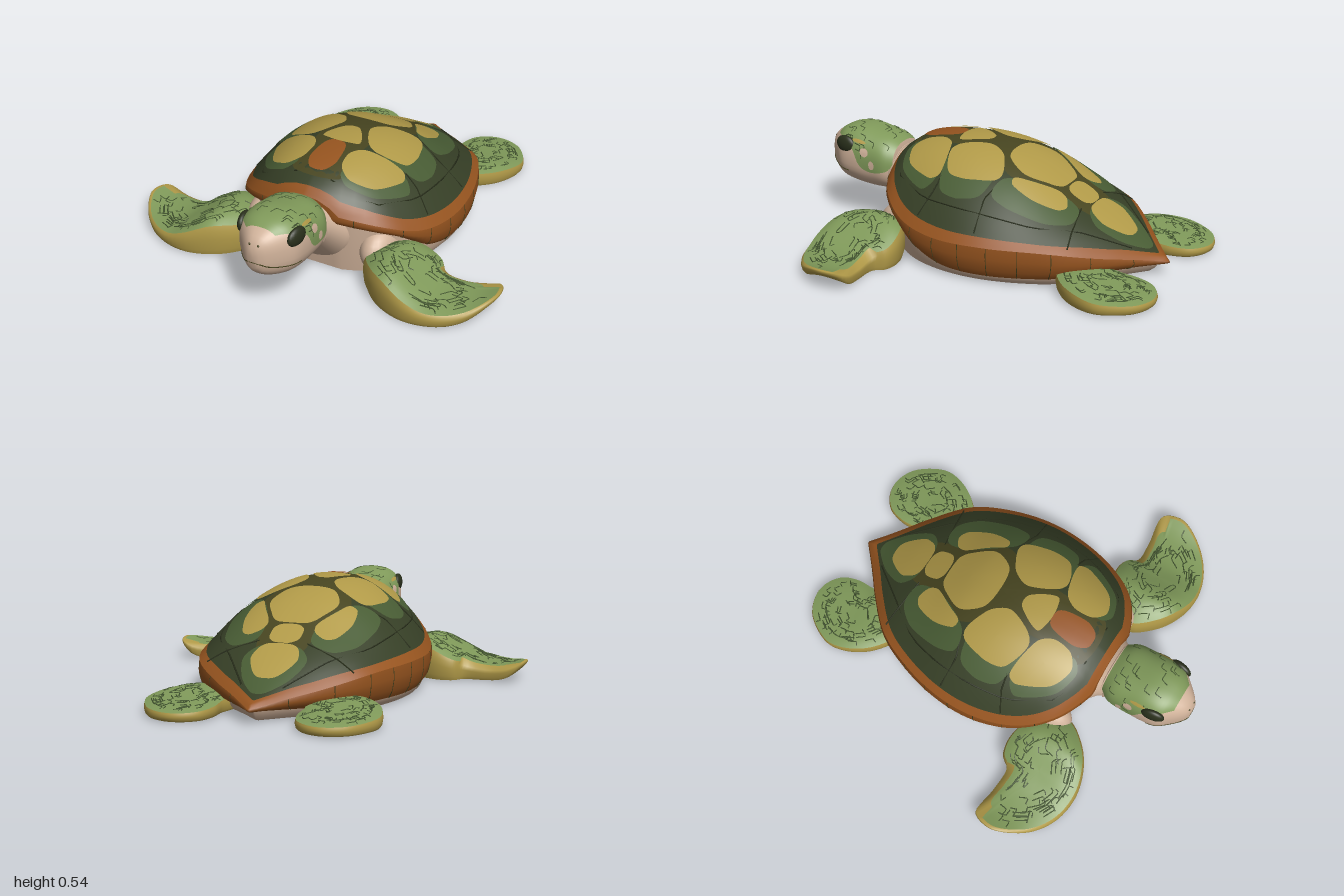
import * as THREE from 'three';

const mat = (name, color) => Object.assign(new THREE.MeshStandardMaterial({ color }), { name });
const M = {
  seam: mat('olive seam', 0x474520), dark: mat('dark green', 0x363f26), mid: mat('moss green', 0x485c34),
  yellow: mat('ochre', 0xb19a48), rim: mat('burnt orange', 0x96541f), skin: mat('light green', 0x809a5a),
  beige: mat('beige', 0xd0b29a), line: mat('near black', 0x2a301c),
};

// Smooth function through a table of [position, value], ascending
function curve(t) {
  const slope = i => {
    const a = t[Math.max(i - 1, 0)], b = t[Math.min(i + 1, t.length - 1)];
    return (b[1] - a[1]) / (b[0] - a[0]);
  };
  return v => {
    const x = Math.min(Math.max(v, t[0][0]), t[t.length - 1][0]);
    let i = 0;
    while (i < t.length - 2 && x > t[i + 1][0]) i++;
    const h = t[i + 1][0] - t[i][0], s = (x - t[i][0]) / h, s2 = s * s, s3 = s2 * s;
    return (2 * s3 - 3 * s2 + 1) * t[i][1] + (s3 - 2 * s2 + s) * h * slope(i)
      + (3 * s2 - 2 * s3) * t[i + 1][1] + (s3 - s2) * h * slope(i + 1);
  };
}

// Surface through rings of points, counterclockwise as seen from the last ring
function loft(rings, closed = true) {
  const n = rings[0].length, index = [];
  for (let i = 0; i < rings.length - 1; i++)
    for (let j = 0; j < (closed ? n : n - 1); j++) {
      const k = (j + 1) % n, a = i * n + j, b = i * n + k, c = b + n, d = a + n;
      index.push(a, b, c, a, c, d);
    }
  const g = new THREE.BufferGeometry();
  g.setAttribute('position', new THREE.Float32BufferAttribute(rings.flat(2), 3));
  g.setIndex(index);
  g.computeVertexNormals();
  return g;
}

// Smooth closed loop in plan, counterclockwise from above
function loop(points, n, side = 1) {
  const c = new THREE.CatmullRomCurve3(points.map(([x, z]) => new THREE.Vector3(x * side, 0, z)), true);
  const out = c.getPoints(n).slice(0, n).map(p => [p.x, p.z]);
  const area = out.reduce((s, p, i) => {
    const q = out[(i + 1) % n];
    return s + q[0] * p[1] - p[0] * q[1];
  }, 0);
  return area > 0 ? out : out.reverse();
}
// Polygon with slightly rounded corners
const rounded = pts => pts.flatMap((p, i) => {
  const q = pts[(i + 1) % pts.length];
  return [.18, .82].map(f => [p[0] + (q[0] - p[0]) * f, p[1] + (q[1] - p[1]) * f]);
});
const scaled = (pts, c, t) => pts.map(([x, z]) => [c[0] + (x - c[0]) * t, c[1] + (z - c[1]) * t]);
const range = (a, b, n) => Array.from({ length: n + 1 }, (_, i) => a + (b - a) * i / n);
const mirrored = pts => pts.concat(pts.slice().reverse().map(([x, z]) => [-x, z]));

// Shell measurements along z: half width, ridge, edge and underside heights
const W = curve([[-.915, 0], [-.8, .13], [-.7, .25], [-.55, .4], [-.4, .48], [-.2, .54], [0, .555], [.2, .52], [.35, .45], [.45, .36], [.51, .26], [.54, .18]]);
const T = curve([[-.91, .08], [-.8, .13], [-.6, .25], [-.4, .36], [-.2, .465], [0, .52], [.2, .53], [.4, .5], [.5, .45], [.54, .41]]);
const E = curve([[-.91, .07], [-.7, .13], [-.5, .18], [-.2, .19], [.1, .19], [.3, .22], [.45, .29], [.54, .34]]);
const B = curve([[-.91, .05], [-.5, .04], [0, .04], [.2, .08], [.3, .14], [.4, .21], [.54, .28]]);
const shellY = (x, z) => {
  const u = Math.min(1, Math.abs(x) / Math.max(W(z), .001));
  return E(z) + (T(z) - E(z)) * (1 - Math.pow(u, 2.3));
};
// Head measurements along z
const HW = curve([[.57, .13], [.62, .155], [.7, .16], [.8, .162], [.88, .148], [.94, .1], [.98, .06], [1, .03]]);
const HT = curve([[.57, .43], [.62, .455], [.7, .475], [.8, .49], [.88, .48], [.94, .45], [.98, .42], [1, .385]]);
const HB = curve([[.57, .18], [.7, .172], [.8, .18], [.88, .195], [.94, .215], [.98, .245], [1, .28]]);
const soft = v => Math.sign(v) * Math.pow(Math.abs(v), .82);
const headPoint = (z, a, k = 1) => {
  const cy = (HT(z) + HB(z)) / 2;
  return [HW(z) * k * soft(Math.cos(a)), cy + (HT(z) - cy) * k * soft(Math.sin(a)), z];
};

export function createModel() {
  const root = new THREE.Group();
  root.name = 'seaTurtle';
  const add = (name, geo, material, parent = root) => {
    const m = new THREE.Mesh(geo, material);
    m.name = name;
    parent.add(m);
    return m;
  };
  const line = (name, pts, r, material = M.line, seg = 5, parent = root) =>
    add(name, new THREE.TubeGeometry(new THREE.CatmullRomCurve3(pts.map(p => new THREE.Vector3(...p)), false, 'catmullrom', .15), seg, r, 4), material, parent);
  let seed = 7;
  const rnd = () => (seed = (seed * 16807) % 2147483647) / 2147483647;

  // Shell dome, orange border and rim wall
  const centre = [0, -.05];
  const half = [[.01, .54], [.07, .54], [.13, .54]];
  for (const s of range(0, 1, 60)) {
    const z = .54 - 1.45 * s;
    half.push([Math.max(W(z), .004), z]);
  }
  const outline = mirrored(half);
  const shellRing = t => scaled(outline, centre, t).map(([x, z]) => [x, shellY(x, z), z]);
  const lowRing = (t, f) => scaled(outline, centre, t).map(([x, z], i) => [x, f(outline[i][1]), z]);
  add('shellDome', loft(range(.94, .001, 28).map(shellRing)), M.dark);
  add('shellBorder', loft(range(1, .94, 3).map(shellRing)), M.rim);
  const mix = f => z => B(z) * (1 - f) + E(z) * f;
  add('shellRim', loft([lowRing(.94, B), lowRing(.985, mix(.25)), lowRing(1.008, mix(.65)), shellRing(1)]), M.rim);
  const belly = lowRing(.89, () => 0);
  add('plastron', loft([lowRing(.001, () => 0), belly]), M.beige);
  add('underbody', loft([belly, lowRing(.925, z => B(z) * .5), lowRing(.94, B)]), M.beige);

  // Scute plates draped over the dome
  const plate = (name, pts, material, lift, side = 1) => {
    const o = loop(rounded(pts), 60, side);
    const c = [0, 1].map(k => o.reduce((s, p) => s + p[k], 0) / o.length);
    add(name, loft(range(1, .001, 7).map(t => scaled(o, c, t).map(([x, z]) => [x, shellY(x, z) + lift, z]))), material);
  };
  plate('ridgeSeam', mirrored([[.05, .46], [.14, .43], [.13, .2], [.15, 0], [.24, -.2], [.14, -.4], [.13, -.52], [.05, -.72]]), M.seam, .003);
  plate('rearGreenScute', mirrored([[.03, -.82], [.12, -.72], [.165, -.6], [.1, -.53]]), M.mid, .005);
  plate('rearScute', mirrored([[.05, -.73], [.12, -.62], [.1, -.55], [.06, -.525]]), M.yellow, .009);
  plate('smallScute', mirrored([[.04, -.52], [.078, -.49], [.078, -.42], [.04, -.395]]), M.yellow, .009);
  plate('middleScute', mirrored([[.07, -.385], [.115, -.35], [.185, -.22], [.11, -.095]]), M.yellow, .009);
  plate('frontWedgeScute', mirrored([[.035, .045], [.11, .18], [.04, .205]]), M.yellow, .009);
  plate('orangeScute', mirrored([[.05, .21], [.075, .36], [.04, .43]]), M.rim, .009);
  for (const s of [1, -1]) {
    plate('rearCostalGreen', [[.13, -.5], [.25, -.52], [.34, -.42], [.38, -.24], [.36, -.13], [.25, -.15], [.13, -.36]], M.mid, .006, s);
    plate('middleCostalGreen', [[.2, -.11], [.38, -.1], [.42, .02], [.39, .14], [.2, .18], [.15, .05]], M.mid, .006, s);
    plate('frontCostalGreen', [[.16, .21], [.35, .17], [.4, .23], [.3, .4], [.17, .45], [.11, .4]], M.mid, .006, s);
    plate('rearCostalScute', [[.13, -.43], [.19, -.46], [.24, -.43], [.28, -.31], [.27, -.2], [.225, -.19], [.185, -.27], [.12, -.38]], M.yellow, .009, s);
    plate('middleCostalScute', [[.12, -.085], [.28, -.15], [.335, .01], [.32, .13], [.16, .19], [.065, .02]], M.yellow, .009, s);
    plate('frontCostalScute', [[.14, .2], [.33, .155], [.355, .21], [.28, .37], [.17, .42], [.1, .37], [.09, .27]], M.yellow, .009, s);

    // Dark seams between the scutes and around the rim
    for (const p of [[[.12, -.5], [.28, -.53], [.37, -.55]], [[.26, -.15], [.38, -.115], [.51, -.13]], [[.33, .15], [.4, .16], [.48, .2]],
      [[.09, .45], [.3, .42], [.42, .2], [.445, 0], [.43, -.2], [.38, -.38], [.25, -.56], [.1, -.76]]])
      line('shellSeam', p.map(([x, z]) => [x * s, shellY(x, z) + .002, z]), .004, M.line, 24);
    for (let i = 4; i < half.length - 3; i += 6) {
      const [x, z] = half[i];
      const at = (t, f) => [x * t * s, mix(f)(z), centre[1] + (z - centre[1]) * t];
      line('rimSeam', [at(.945, 0), at(.985, .25), at(1.008, .65), at(1, 1)], .002, M.seam, 8);
    }
  }

  // Flippers: flat sole, ochre edge, green top with scale cracks
  const flipper = (name, pts, c0, side, top, bottom, inset) => {
    const g = new THREE.Group();
    g.name = name;
    root.add(g);
    const n = 84, o = loop(pts, n, side), c = [c0[0] * side, c0[1]];
    const point = (j, t, f) => {
      const x = c[0] + (o[j][0] - c[0]) * t, z = c[1] + (o[j][1] - c[1]) * t;
      const b = bottom(x * side), h = top(x * side, z);
      return [x, b + (h - b) * f, z];
    };
    const ring = (t, f) => o.map((_, j) => point(j, t, f));
    const crownPoint = (j, t) => {
      const k = t * inset(o[j][0] * side, o[j][1]);
      return point(j, k, 1 - .25 * k ** 4);
    };
    const crown = t => o.map((_, j) => crownPoint(j, t));
    add('flipperSole', loft([ring(.001, 0), ring(.5, 0), ring(.94, 0)]), M.skin, g);
    add('flipperEdge', loft([ring(.94, 0), ring(.98, .15), ring(1, .45), ring(.988, .66), crown(.95)]), M.yellow, g);
    add('flipperTop', loft(range(.95, .001, 9).map(crown)), M.skin, g);
    for (let i = 0; i < 75; i++) {
      const j = Math.floor(rnd() * n), t = .15 + .68 * Math.sqrt(rnd()), k = (j + Math.ceil(2.2 / t)) % n;
      const d = t + (rnd() < .5 ? .1 : -.1);
      line('scaleCrack', [crownPoint(j, t), crownPoint(k, t), crownPoint(k, d)], .003, M.mid, 6, g);
    }
  };
  const frontTop = curve([[.28, .17], [.4, .205], [.48, .2], [.6, .135], [.7, .09], [.85, .085], [.96, .115]]);
  const frontLow = curve([[.3, 0], [.75, 0], [.87, .02], [.97, .09]]);
  const rearTop = curve([[-1, .055], [-.8, .07], [-.65, .09], [-.5, .1]]);
  for (const s of [1, -1]) {
    const tag = s > 0 ? 'left' : 'right';
    flipper(tag + 'FrontFlipper', [[.29, .49], [.34, .37], [.45, .3], [.54, .28], [.61, .295], [.655, .345], [.78, .345], [.93, .335], [.965, .42], [.95, .49], [.87, .61], [.75, .69], [.6, .715], [.46, .675], [.36, .6]],
      [.6, .5], s, frontTop, frontLow, (x, z) => z < .41 && x > .64 && x < .95 ? .8 : 1);
    flipper(tag + 'RearFlipper', [[.18, -.62], [.2, -.75], [.2, -.84], [.23, -.93], [.3, -.985], [.38, -.997], [.48, -.955], [.555, -.85], [.575, -.77], [.54, -.65], [.46, -.55], [.36, -.5]],
      [.38, -.75], s, (x, z) => rearTop(z), () => 0, () => 1.03);
    const shoulder = add(tag + 'Shoulder', new THREE.SphereGeometry(1, 24, 16), M.beige);
    shoulder.position.set(.315 * s, .125, .36);
    shoulder.scale.set(.09, .115, .15);
  }

  // Chest and neck
  const sections = [[.3, .27, .005, .36], [.42, .25, .01, .37], [.5, .2, .06, .385], [.56, .15, .15, .4], [.62, .13, .18, .42], [.68, .11, .2, .42]];
  const turn = range(0, Math.PI * 2, 40).slice(0, 40);
  add('neck', loft(sections.map(([z, w, lo, hi]) =>
    turn.map(a => [w * Math.cos(a), (lo + hi) / 2 + (hi - lo) / 2 * Math.sin(a), z]))), M.beige);
  for (const z of [.565, .585])
    line('neckFold', range(-.5, Math.PI + .5, 14).map(a => [.142 * Math.cos(a), .28 + .125 * Math.sin(a), z]), .006, M.beige, 28);

  // Head with green cap
  const headRing = (z, k) => turn.map(a => headPoint(z, a, k));
  add('head', loft([headRing(.57, .01), ...range(.57, 1, 26).map(z => headRing(z, 1)), headRing(1, .01)]), M.beige);
  const capEdge = curve([[.57, .05], [.62, -.12], [.7, -.2], [.76, -.05], [.8, .3], [.85, .5], [.93, .9]]);
  add('headCap', loft(range(.57, .93, 24).map(z => range(capEdge(z), Math.PI - capEdge(z), 28).map(a => headPoint(z, a, 1.02))), false), M.skin);
  for (let i = 0; i < 26; i++) {
    const z = .6 + rnd() * .24, lo = capEdge(z) + .1, a = lo + rnd() * (Math.PI - 2 * lo - .25);
    line('headCrack', [headPoint(z, a, 1.02), headPoint(z, a + .2, 1.02), headPoint(z + .035, a + .24, 1.02)], .0025, M.mid, 6);
  }

  // Cheek spots, eyes and nostrils
  const spot = (name, z, a, dz, da, material, s) => add(name, loft([1, .5, .001].map(t => turn.map(q => {
    const p = headPoint(z + dz * t * Math.cos(q) * -s, a + da * t * Math.sin(q), 1.035);
    return [p[0] * s, p[1], p[2]];
  }))), material);
  for (const s of [1, -1]) {
    spot('cheekSpot', .725, .3, .024, .14, M.beige, s);
    spot('cheekSpot', .68, 0, .016, .1, M.beige, s);
    spot('browSpot', .765, .62, .04, .07, M.yellow, s);
    const eye = add('eye', new THREE.SphereGeometry(1, 20, 14), M.line);
    eye.position.set(.138 * s, .405, .85);
    eye.scale.set(.024, .047, .06);
    eye.rotation.y = -s * .15;
    const nostril = add('nostril', new THREE.SphereGeometry(.006, 8, 6), M.seam);
    nostril.position.set(.022 * s, .398, .988);
  }

  // Mouth
  const lip = range(.83, .998, 8);
  line('mouth', [...lip.map(z => headPoint(z, -.4)), ...lip.slice().reverse().map(z => headPoint(z, Math.PI + .4))], .003, M.seam, 48);

  return root;
}
